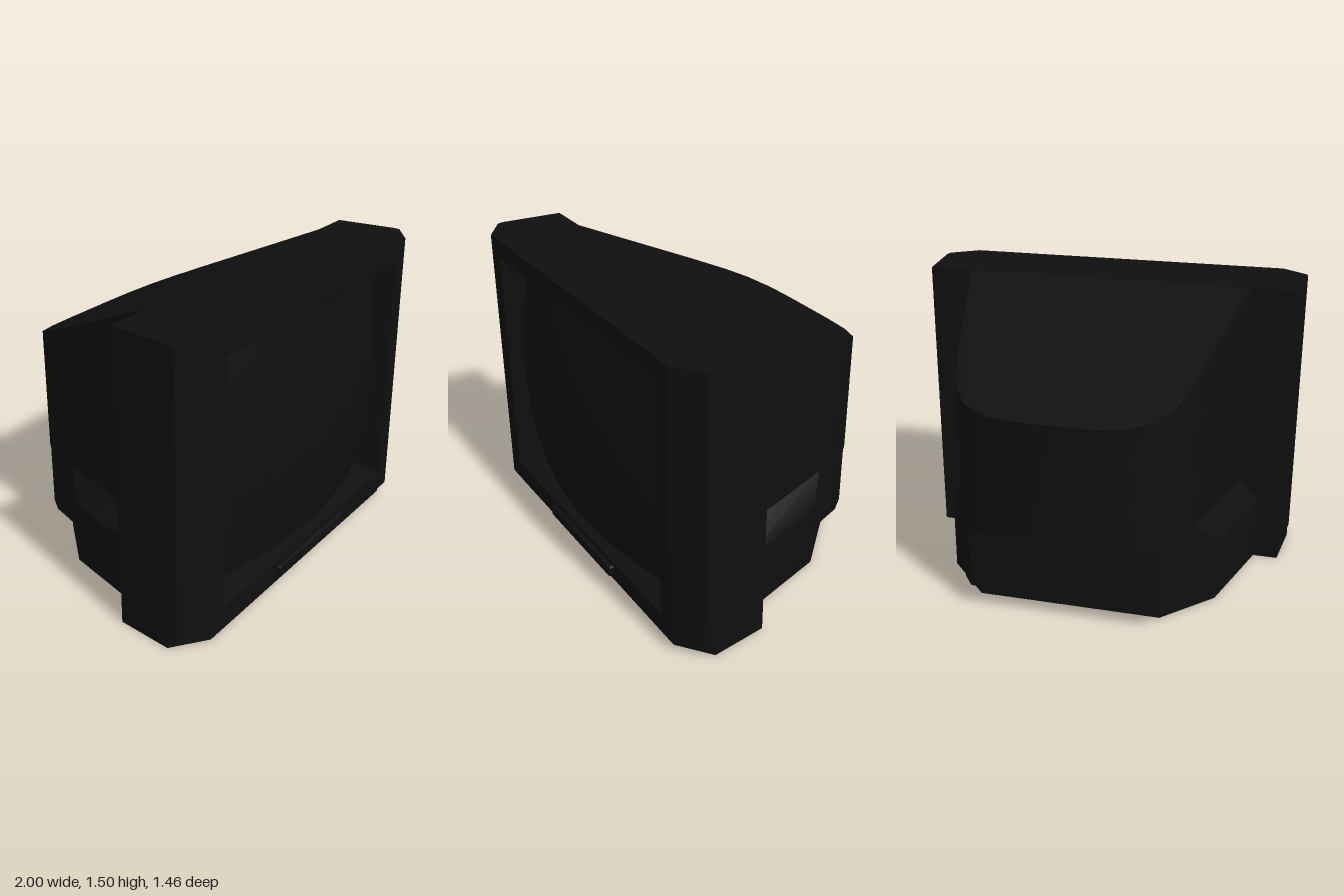
import * as THREE from 'three';
import { toCreasedNormals } from 'three/addons/utils/BufferGeometryUtils.js';
import { RoundedBoxGeometry } from 'three/addons/geometries/RoundedBoxGeometry.js';

// Upright prism over a plan outline; each point is [x, z, top, bottom].
function prism(points) {
  let pts = points;
  const flat = (list) => list.map(([x, z]) => new THREE.Vector2(x, -z));
  if (THREE.ShapeUtils.isClockWise(flat(pts))) pts = [...pts].reverse();
  const top = pts.map((p) => [p[0], p[2], p[1]]);
  const bottom = pts.map((p) => [p[0], p[3], p[1]]);
  const pos = [];
  const tri = (a, b, c) => pos.push(...a, ...b, ...c);
  for (const [a, b, c] of THREE.ShapeUtils.triangulateShape(flat(pts), [])) {
    tri(top[a], top[b], top[c]);
    tri(bottom[c], bottom[b], bottom[a]);
  }
  pts.forEach((_, i) => {
    const j = (i + 1) % pts.length;
    tri(bottom[i], bottom[j], top[j]);
    tri(bottom[i], top[j], top[i]);
  });
  const geo = new THREE.BufferGeometry();
  geo.setAttribute('position', new THREE.Float32BufferAttribute(pos, 3));
  geo.computeVertexNormals();
  return toCreasedNormals(geo, 0.6);
}

// Mirrors a half outline of [x, z] across x = 0 and adds heights.
function symmetric(half, top, bottom) {
  const all = [...half, ...half.map(([x, z]) => [-x, z]).reverse()];
  return prism(all.map(([x, z]) => [x, z, top(z), bottom(z)]));
}

// Four sloping walls from a front rectangle to a smaller rear one.
function recessWalls(front, rear) {
  const ring = ([x, y0, y1, z]) => [[-x, y0, z], [x, y0, z], [x, y1, z], [-x, y1, z]];
  const f = ring(front), r = ring(rear), pos = [];
  for (let i = 0; i < 4; i++) {
    const j = (i + 1) % 4;
    pos.push(...f[i], ...f[j], ...r[j], ...f[i], ...r[j], ...r[i]);
  }
  const geo = new THREE.BufferGeometry();
  geo.setAttribute('position', new THREE.Float32BufferAttribute(pos, 3));
  geo.computeVertexNormals();
  return geo;
}

function rectangle(PathType, x, y0, y1) {
  return new PathType([[-x, y0], [x, y0], [x, y1], [-x, y1]].map((p) => new THREE.Vector2(...p)));
}

export function createModel() {
  const model = new THREE.Group();
  model.name = 'television';
  const black = new THREE.MeshStandardMaterial({ color: 0x0f0f0f });
  black.name = 'black plastic';
  const add = (name, geo, mat = black) => {
    const mesh = new THREE.Mesh(geo, mat);
    mesh.name = name;
    model.add(mesh);
    return mesh;
  };

  // Front frame with the screen opening
  const face = rectangle(THREE.Shape, 0.86, 0.055, 1.5);
  face.holes.push(rectangle(THREE.Path, 0.77, 0.16, 1.4));
  const frame = new THREE.ExtrudeGeometry(face, { depth: 0.425, bevelEnabled: false });
  add('frontFrame', frame.translate(0, 0, 0.26));
  add('frameBack', new THREE.BoxGeometry(1.72, 1.445, 0.02).translate(0, 0.7775, 0.25));

  // Angled side pillars of the frame
  const pillar = [[0.86, 0.24], [0.965, 0.24], [1, 0.55], [0.995, 0.585], [0.86, 0.685]];
  for (const s of [1, -1]) {
    add(s > 0 ? 'leftPillar' : 'rightPillar', prism(pillar.map(([x, z]) => [s * x, z, 1.5, 0.055])));
  }

  // Plinth under the frame
  add('plinth', symmetric([[0.965, 0.24], [0.995, 0.53], [0.83, 0.655]], () => 0.055, () => 0));

  // Recess and bulging screen
  add('screenRecess', recessWalls([0.77, 0.16, 1.4, 0.685], [0.73, 0.2, 1.36, 0.52]));
  const screen = new THREE.PlaneGeometry(1.46, 1.16, 24, 20);
  const p = screen.attributes.position;
  for (let i = 0; i < p.count; i++) {
    p.setZ(i, 0.727 - (p.getX(i) ** 2 + p.getY(i) ** 2) / 4.8);
  }
  screen.computeVertexNormals();
  add('screen', screen.translate(0, 0.78, 0));

  // Control strip below the screen
  add('controlStrip', new RoundedBoxGeometry(0.64, 0.06, 0.05, 3, 0.012).translate(0, 0.105, 0.686));

  // Tapering rear housing with a sloping roof
  const side = [[0.74, 0.24], [0.59, -0.385], [0.57, -0.44], [0.53, -0.56], [0.47, -0.64]];
  const roof = (z) => 1.5 - (0.24 - z) * 0.446;
  const underside = (z) => 0.44 - (z + 0.64) * 0.26;
  const back = [...side, [0.455, -0.66], [0.32, -0.72], [0.16, -0.735]];
  add('rearHousing', symmetric(back, roof, (z) => Math.min(underside(z), 0.465)
    - (z > -0.64 ? underside(z) - underside(-0.64) : 0)));

  // Stepped lower back
  add('lowerBack', symmetric(side, () => 0.45, () => 0.12));
  add('base', symmetric([[0.84, 0.24], [0.7, -0.265], [0.465, -0.52]], () => 0.12, () => 0.005));

  // Side boxes with sloping tops
  const box = [[0.84, 0.24, 0.34], [0.7, -0.265, 0.34], [0.585, -0.385, 0.47],
    [0.66, -0.05, 0.45], [0.73, 0.24, 0.45]];
  for (const s of [1, -1]) {
    add(s > 0 ? 'leftSideBox' : 'rightSideBox', prism(box.map(([x, z, y]) => [s * x, z, y, 0.12])));
  }
  return model;
}
